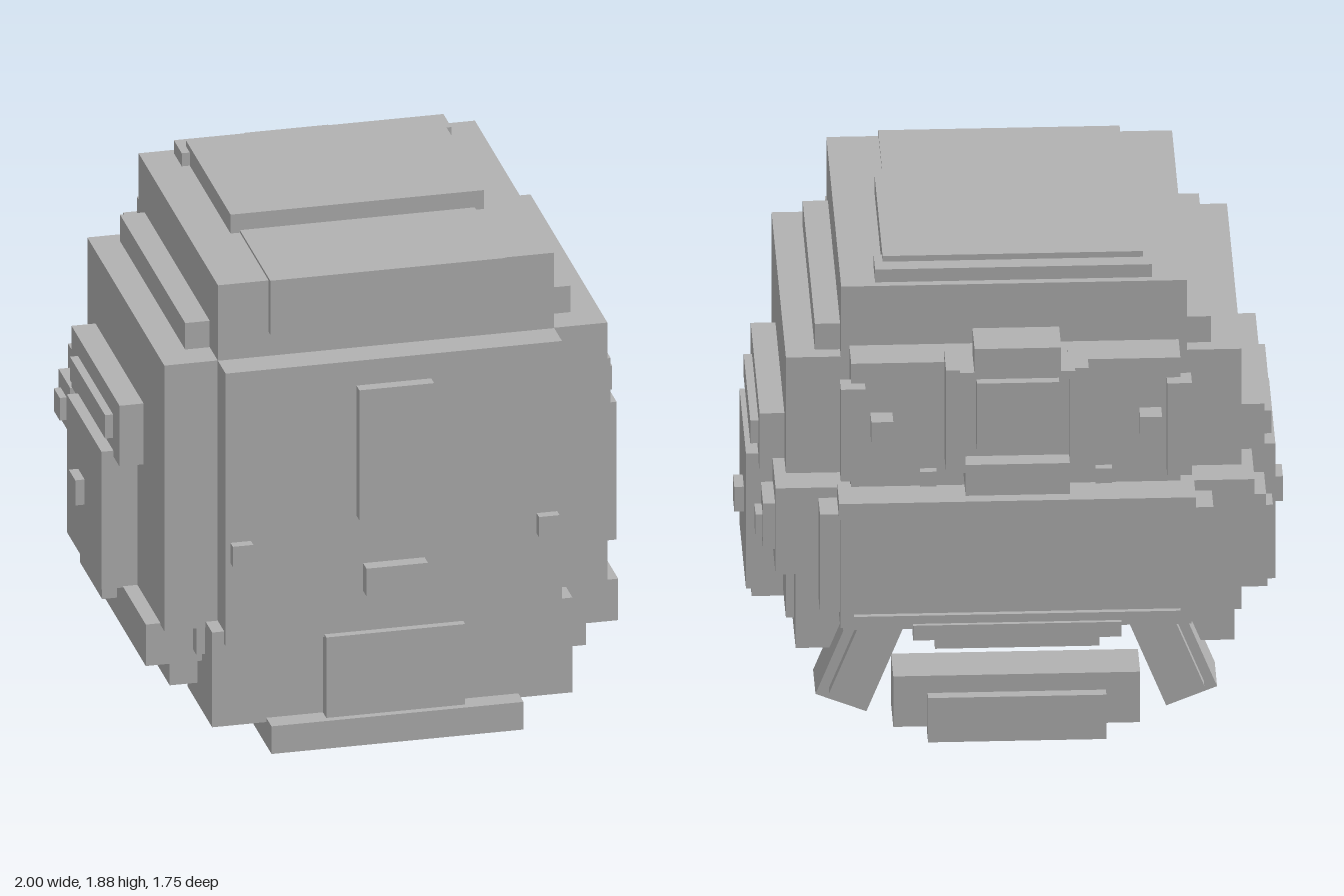
import * as THREE from 'three';

export function createModel() {
  const model = new THREE.Group();
  model.name = 'blockHelmet';
  const grey = new THREE.MeshStandardMaterial({ color: 0xb2b2b2 });
  grey.name = 'plain grey';

  // Box given by its limits on each axis
  function box(name, x0, x1, y0, y1, z0, z1) {
    const mesh = new THREE.Mesh(new THREE.BoxGeometry(x1 - x0, y1 - y0, z1 - z0), grey);
    mesh.position.set((x0 + x1) / 2, (y0 + y1) / 2, (z0 + z1) / 2);
    mesh.name = name;
    model.add(mesh);
    return mesh;
  }
  // Box centred on x = 0
  const mid = (name, hx, ...r) => box(name, -hx, hx, ...r);
  // Mirrored pair of boxes
  function pair(name, x0, x1, ...r) {
    box(name + 'Left', x0, x1, ...r);
    box(name + 'Right', -x1, -x0, ...r);
  }
  // Mirrored pair of boxes leaning outward at the foot
  function leaning(name, x, y, z, w, h, d, angle) {
    for (const s of [1, -1]) {
      const mesh = new THREE.Mesh(new THREE.BoxGeometry(w, h, d), grey);
      mesh.position.set(s * x, y, z);
      mesh.rotation.z = s * angle;
      mesh.name = name + (s > 0 ? 'Left' : 'Right');
      model.add(mesh);
    }
  }

  // Crown
  mid('crown', 0.63, 1.365, 1.81, -0.53, 0.70);
  mid('crownCap', 0.475, 1.8, 1.885, -0.437, 0.255);
  mid('crownRearCap', 0.44, 1.605, 1.82, 0.25, 0.727);
  mid('crownRidge', 0.505, 1.79, 1.862, -0.5, -0.378);
  pair('crownShelf', 0.6, 0.722, 1.48, 1.615, -0.437, 0.573);

  // Hollow shell walls
  pair('sideWall', 0.6, 0.83, 0.453, 1.51, -0.497, 0.697);
  mid('shellPlate', 0.63, 0.425, 1.51, 0.66, 0.82);
  mid('centreStrip', 0.14, 0.895, 1.412, 0.81, 0.865);
  mid('smallVent', 0.115, 0.593, 0.703, 0.81, 0.872);
  pair('plateStud', 0.535, 0.612, 0.755, 0.835, 0.81, 0.857);

  // Ear pieces
  pair('earPad', 0.8, 0.965, 0.455, 1.003, -0.255, 0.28);
  pair('earHood', 0.8, 0.92, 0.98, 1.222, -0.37, 0.375);
  pair('earHoodTrim', 0.9, 0.95, 1.052, 1.145, -0.27, 0.275);
  pair('earKnob', 0.95, 1.0, 0.682, 0.782, -0.08, 0.02);

  // Stepped blocks under the ears
  pair('lowerStepOuter', 0.62, 0.94, 0.375, 0.46, -0.157, 0.187);
  pair('lowerStepMiddle', 0.62, 0.885, 0.295, 0.46, 0.01, 0.637);
  pair('lowerStepInner', 0.6, 0.78, 0.18, 0.31, 0.167, 0.573);
  pair('lowerCorner', 0.6, 0.708, 0.343, 0.47, 0.5, 0.687);

  // Neck guard
  mid('neckGuard', 0.675, 0.098, 0.475, 0.412, 0.797);
  mid('neckPlate', 0.26, 0.11, 0.435, 0.78, 0.85);
  mid('neckRim', 0.472, 0.005, 0.115, 0.41, 0.877);

  // Cheeks
  pair('cheekBlock', 0.6, 0.8, 0.39, 1.04, -0.62, -0.213);
  pair('cheekBox', 0.66, 0.873, 0.69, 1.04, -0.62, -0.365);
  pair('cheekBoss', 0.85, 0.917, 0.775, 0.96, -0.582, -0.402);
  pair('cheekButton', 0.9, 0.943, 0.81, 0.9, -0.55, -0.457);
  pair('cheekPost', 0.63, 0.717, 0.6, 0.998, -0.757, -0.6);

  // Brow panel and its fittings
  mid('brow', 0.6, 0.98, 1.57, -0.68, -0.45);
  pair('browStrip', 0.55, 0.64, 1.117, 1.49, -0.73, -0.645);
  pair('browKnob', 0.45, 0.53, 1.285, 1.37, -0.76, -0.66);
  pair('browTab', 0.29, 0.35, 1.08, 1.14, -0.71, -0.66);

  // Centre ornament
  mid('ornamentBack', 0.2, 1.18, 1.57, -0.77, -0.65);
  pair('ornamentPost', 0.19, 0.26, 1.185, 1.602, -0.815, -0.647);
  mid('ornamentBar', 0.21, 1.57, 1.602, -0.837, -0.68);
  mid('ornamentTop', 0.158, 1.59, 1.705, -0.852, -0.68);
  mid('ornamentGem', 0.15, 1.3, 1.575, -0.873, -0.75);
  mid('ornamentFoot', 0.19, 1.105, 1.23, -0.842, -0.68);

  // Visor
  mid('visorPanel', 0.63, 0.56, 1.02, -0.785, -0.64);
  mid('visorTop', 0.65, 1.005, 1.07, -0.82, -0.655);
  mid('visorSill', 0.635, 0.55, 0.603, -0.805, -0.64);
  pair('visorEdge', 0.595, 0.645, 0.56, 1.03, -0.808, -0.65);
  mid('visorLip', 0.38, 0.51, 0.57, -0.82, -0.75);
  mid('visorUnderLip', 0.3, 0.465, 0.53, -0.8, -0.745);

  // Jaw and chin
  leaning('jaw', 0.565, 0.4, -0.62, 0.2, 0.4, 0.2, 0.38);
  leaning('jawPlate', 0.55, 0.42, -0.735, 0.14, 0.37, 0.05, 0.38);
  mid('chinBar', 0.45, 0.13, 0.335, -0.758, -0.57);
  mid('chinPlate', 0.325, 0.085, 0.265, -0.8, -0.725);

  return model;
}
